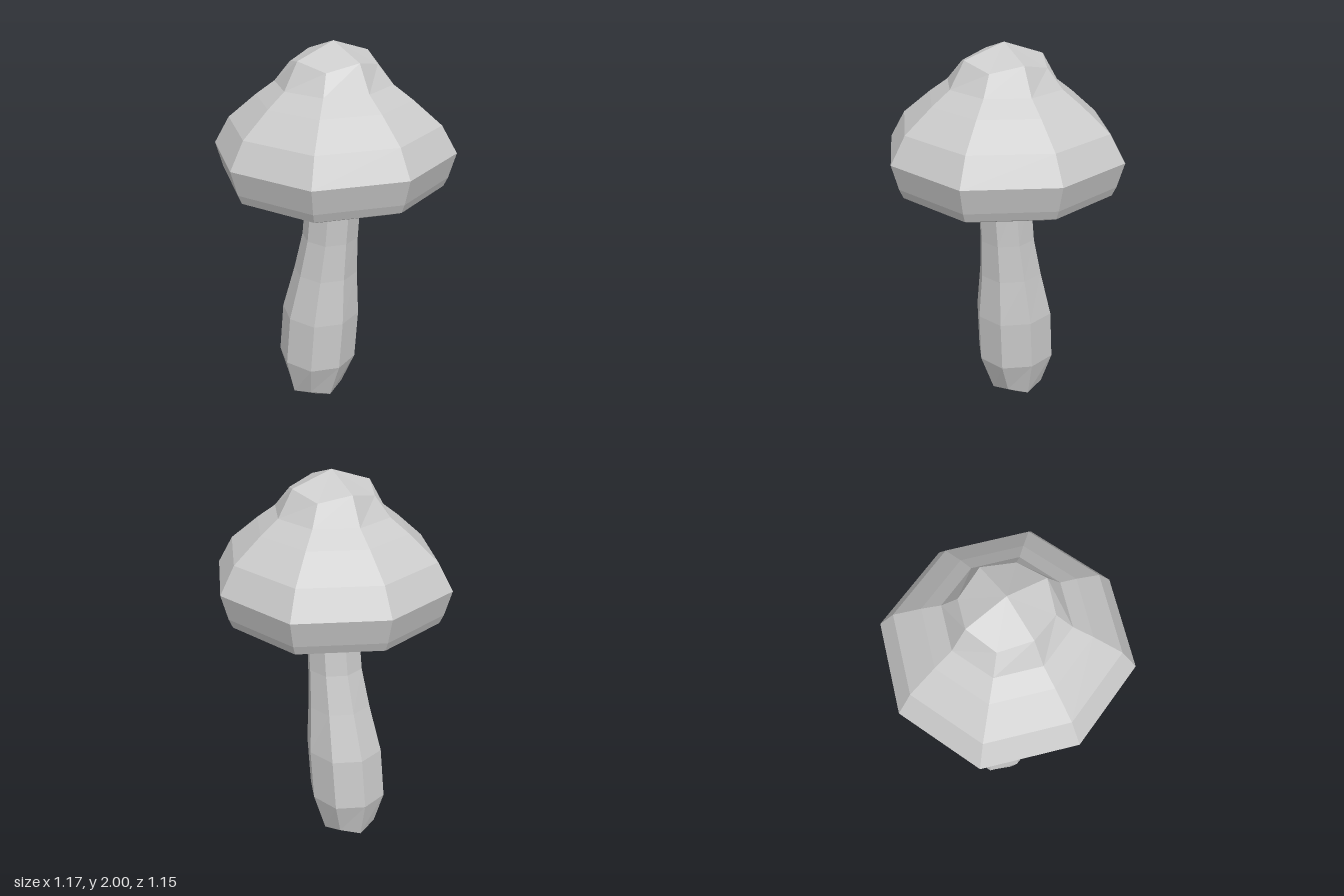
import * as THREE from 'three';

const SIDES = 8;

// Faceted skin over stacked octagonal rings, listed bottom to top.
// Ring: { y, rx, rz, cx, cz, dy, tilt }; dy shifts the diagonal corners, tilt leans the ring along x.
// A ring with rx = 0 is a pole.
function loft(rings) {
  const corner = ({ y, rx, rz = rx, cx = 0, cz = 0, dy = 0, tilt = 0 }, i) => {
    const a = (i % SIDES) * Math.PI * 2 / SIDES;
    const diagonal = i % 2 === 1;
    const k = diagonal ? 1.03 : 1;
    const x = cx + Math.sin(a) * rx * k;
    return [x, y + (diagonal ? dy : 0) + tilt * x, cz + Math.cos(a) * rz * k];
  };
  const pos = [];
  for (let r = 0; r < rings.length - 1; r++) {
    const lo = rings[r], hi = rings[r + 1];
    for (let i = 0; i < SIDES; i++) {
      const a = corner(lo, i), b = corner(lo, i + 1);
      const c = corner(hi, i + 1), d = corner(hi, i);
      if (lo.rx > 0) pos.push(...a, ...b, ...c);
      if (hi.rx > 0) pos.push(...a, ...c, ...d);
      else if (lo.rx === 0) continue;
    }
  }
  const geometry = new THREE.BufferGeometry();
  geometry.setAttribute('position', new THREE.Float32BufferAttribute(pos, 3));
  geometry.computeVertexNormals();
  return geometry;
}

export function createModel() {
  const group = new THREE.Group();
  const material = new THREE.MeshStandardMaterial({ color: 0xcccccc, flatShading: true });
  const add = (name, rings) => {
    const mesh = new THREE.Mesh(loft(rings), material);
    mesh.name = name;
    group.add(mesh);
  };

  // Leaning stem with a swollen foot: y, rx, rz, centre x, centre z, diagonal lift
  add('stem', [
    [0.005, 0, 0, -0.1, 0.05, 0],
    [0.08, 0.14, 0.14, -0.1, 0.05, 0.03],
    [0.285, 0.205, 0.195, -0.09, 0.045, 0],
    [0.555, 0.202, 0.193, -0.073, 0.033, 0],
    [0.8, 0.162, 0.158, -0.045, 0.018, 0],
    [1.0, 0.14, 0.138, -0.02, 0.007, 0],
    [1.27, 0.137, 0.133, 0.003, 0, 0],
    [1.46, 0.135, 0.132, 0.005, 0, 0],
    [1.5, 0, 0, 0.005, 0, 0],
  ].map(([y, rx, rz, cx, cz, dy]) => ({ y, rx, rz, cx, cz, dy })));

  // Cap from the hollow underside, round the lip and up to the knob: y, radius, diagonal lift
  add('cap', [
    [1.4, 0, 0],
    [1.38, 0.16, 0],
    [1.268, 0.445, 0],
    [1.305, 0.53, 0],
    [1.35, 0.55, 0],
    [1.475, 0.585, 0],
    [1.61, 0.51, 0],
    [1.73, 0.372, 0],
    [1.8, 0.28, 0],
    [1.93, 0.205, -0.035],
    [2.0, 0, 0],
  ].map(([y, r, dy]) => ({ y, rx: r, rz: r * 0.985, dy, tilt: 0.017 })));

  return group;
}
